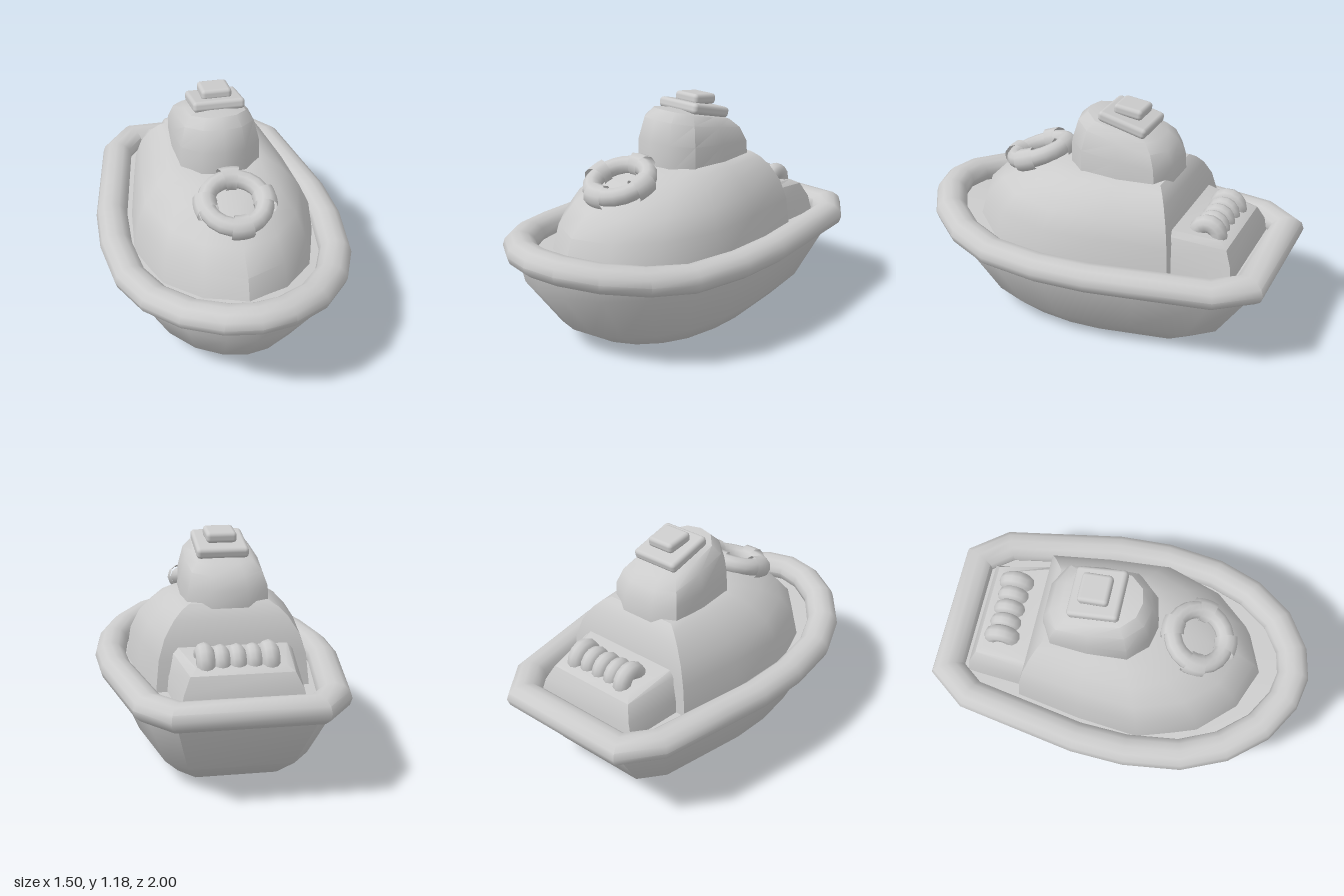
import * as THREE from 'three';
import { toCreasedNormals } from 'three/addons/utils/BufferGeometryUtils.js';
import { RoundedBoxGeometry } from 'three/addons/geometries/RoundedBoxGeometry.js';

const grey = new THREE.MeshStandardMaterial({ color: 0xcccccc });
const greyThin = new THREE.MeshStandardMaterial({ color: 0xcccccc, side: THREE.DoubleSide });

function part(name, geometry, material = grey) {
  const mesh = new THREE.Mesh(geometry, material);
  mesh.name = name;
  return mesh;
}

// Full plan outline [x, z] from the left half, listed stern to bow
const mirror = (half) => [
  ...half,
  ...half.filter(([x]) => x > 0).reverse().map(([x, z]) => [-x, z]),
];

// Moves an outline inwards with mitred corners
function inset(pts, d) {
  const n = pts.length;
  const normal = (a, b) => {
    const dx = b[0] - a[0], dz = b[1] - a[1], l = Math.hypot(dx, dz);
    return [dz / l, -dx / l];
  };
  return pts.map((p, i) => {
    const a = normal(pts[(i + n - 1) % n], p);
    const b = normal(p, pts[(i + 1) % n]);
    const k = d / (1 + a[0] * b[0] + a[1] * b[1]);
    return [p[0] - (a[0] + b[0]) * k, p[1] - (a[1] + b[1]) * k];
  });
}

// Skins a stack of rings of [x, y, z], with optional end caps
function loft(rings, { bottom = false, top = false, crease = 0.7 } = {}) {
  const n = rings[0].length;
  const pos = rings.flat(2);
  const index = [];
  for (let r = 0; r < rings.length - 1; r++) {
    for (let i = 0; i < n; i++) {
      const j = (i + 1) % n;
      const a = r * n + i, b = r * n + j, c = a + n, d = b + n;
      index.push(a, c, b, b, c, d);
    }
  }
  const cap = (r, up) => {
    const centre = pos.length / 3;
    for (let k = 0; k < 3; k++) pos.push(rings[r].reduce((s, p) => s + p[k], 0) / n);
    for (let i = 0; i < n; i++) {
      const a = r * n + i, b = r * n + ((i + 1) % n);
      if (up) index.push(centre, b, a);
      else index.push(centre, a, b);
    }
  };
  if (bottom) cap(0, false);
  if (top) cap(rings.length - 1, true);
  const g = new THREE.BufferGeometry();
  g.setAttribute('position', new THREE.Float32BufferAttribute(pos, 3));
  g.setIndex(index);
  return toCreasedNormals(g, crease);
}

// Sheer line: the rim rises towards the bow
const rimY = (z) => 0.457 + 0.08 * Math.pow(Math.max(0, (z - 0.4) / 0.64), 1.5);

export function createModel() {
  const model = new THREE.Group();
  const boat = new THREE.Group();
  boat.name = 'boat';
  boat.rotation.y = 0.391;
  model.add(boat);

  const outline = mirror([
    [0.368, -0.929], [0.522, -0.728], [0.59, -0.34], [0.632, -0.1], [0.643, 0.18],
    [0.605, 0.48], [0.51, 0.71], [0.357, 0.897], [0.17, 1.01], [0, 1.044],
  ]);

  // Hull
  const hullTop = inset(outline, 0.07);
  const hullRings = [[0, 0.54], [0.015, 0.61], [0.12, 0.78], [0.39, 0.985]].map(([y, s]) =>
    hullTop.map(([x, z]) => [x * s, y, z * s]));
  hullRings.push(hullTop.map(([x, z]) => [x, rimY(z), z]));
  boat.add(part('hull', loft(hullRings, { bottom: true })));

  // Rounded rim swept round the outline
  const rimRings = [];
  for (let k = 0; k <= 12; k++) {
    const a = (k / 12) * Math.PI * 2 - Math.PI / 2;
    rimRings.push(inset(outline, 0.082 * (1 - Math.cos(a))).map(([x, z], i) =>
      [x, rimY(outline[i][1]) + 0.07 * Math.sin(a), z]));
  }
  boat.add(part('rim', loft(rimRings)));

  // Deck
  const deck = inset(outline, 0.1).map(([x, z]) => [x, rimY(z) - 0.02, z]);
  boat.add(part('deck', loft([deck], { top: true })));

  // Cabin: blends from a wide foot to the foot of the wheelhouse
  const foot = mirror([[0.385, -0.445], [0.445, -0.1], [0.475, 0.22], [0.375, 0.53], [0.21, 0.72], [0, 0.81]]);
  const head = mirror([[0.2, -0.33], [0.2, -0.1], [0.2, 0.08], [0.16, 0.14], [0.09, 0.2], [0, 0.22]]);
  const cabinRings = [[0.42, 0], [0.6, 0.1], [0.7, 0.27], [0.78, 0.54], [0.825, 0.78], [0.85, 1]].map(([y, t]) =>
    foot.map(([x, z], i) => [x + (head[i][0] - x) * t, y, z + (head[i][1] - z) * t]));
  boat.add(part('cabin', loft(cabinRings, { top: true })));

  // Wheelhouse with a roof that slopes down aft
  const house = mirror([[0.09, -0.35], [0.2, -0.29], [0.212, -0.1], [0.2, 0.1], [0.11, 0.195], [0, 0.22]]);
  const houseRings = [
    [0.82, 1.02, 0], [0.94, 1, 0.1], [1.03, 0.88, 0.2], [1.075, 0.7, 0.25], [1.09, 0.4, 0.25],
  ].map(([y, s, tilt]) => house.map(([x, z]) => {
    const zs = -0.06 + (z + 0.06) * s;
    return [x * s, y + tilt * (zs + 0.06), zs];
  }));
  boat.add(part('wheelhouse', loft(houseRings, { top: true })));

  // Stepped roof plates
  for (const [name, size, y, z, tilt] of [
    ['roofPlate', 0.265, 1.1, -0.09, -0.25], ['roofHatch', 0.155, 1.15, -0.1, -0.13],
  ]) {
    const plate = part(name, new RoundedBoxGeometry(size, 0.055, size, 2, 0.02));
    plate.position.set(0.01, y, z);
    plate.rotation.x = tilt;
    boat.add(plate);
  }

  // Lifebuoy lying on the front of the cabin, with four wraps
  const buoy = new THREE.Group();
  buoy.name = 'lifebuoy';
  buoy.position.set(0.005, 0.82, 0.435);
  buoy.rotation.x = 0.33;
  buoy.add(part('buoyRing', new THREE.TorusGeometry(0.145, 0.046, 10, 20).rotateX(Math.PI / 2)));
  for (let i = 0; i < 4; i++) {
    const wrap = new THREE.TorusGeometry(0.148, 0.06, 10, 4, 0.56);
    wrap.rotateZ((i * Math.PI) / 2 - 0.28).rotateX(Math.PI / 2);
    buoy.add(part('buoyWrap', wrap, greyThin));
  }
  boat.add(buoy);

  // Stern locker with bevelled top
  const lockerRings = [
    [0.42, 0.31, 0.335, -0.745], [0.52, 0.285, 0.325, -0.735], [0.595, 0.25, 0.3, -0.7], [0.62, 0.215, 0.275, -0.655],
  ].map(([y, back, front, z]) =>
    mirror([[back, z], [front, -0.4]]).map(([x, pz]) => [x, y + (pz > -0.5 && y > 0.55 ? 0.04 : 0), pz]));
  boat.add(part('sternLocker', loft(lockerRings, { top: true, crease: 0.6 })));

  // Coiled rope on the locker
  const rope = new THREE.Group();
  rope.name = 'ropeCoil';
  for (let i = 0; i < 5; i++) {
    const end = i === 0 || i === 4;
    const coil = part('ropeTurn', new THREE.TorusGeometry(end ? 0.054 : 0.046, end ? 0.046 : 0.042, 10, 14).rotateY(Math.PI / 2));
    coil.position.set(0.01 + (i - 2) * 0.078, 0.62, -0.575);
    rope.add(coil);
  }
  boat.add(rope);

  return model;
}
